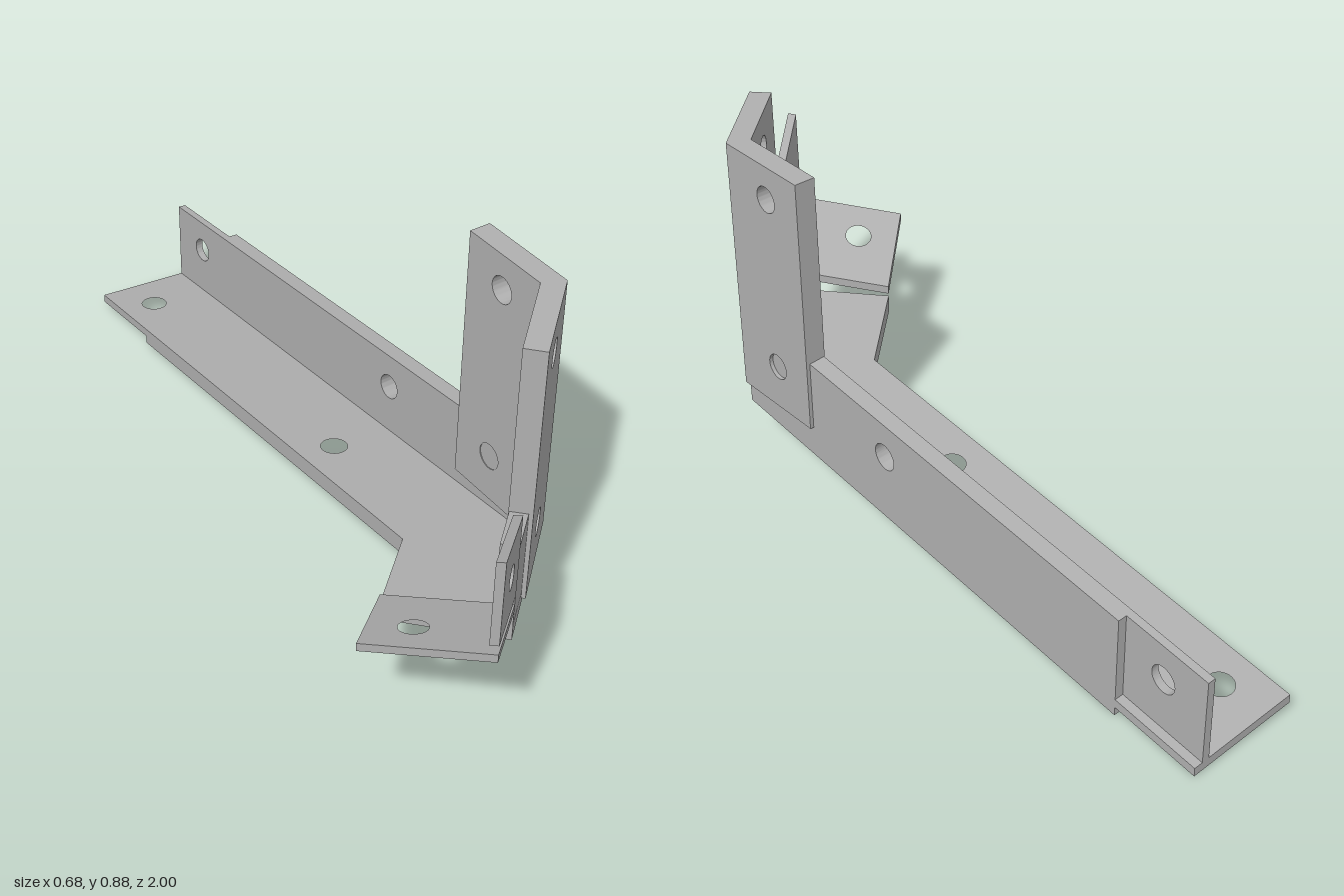
import * as THREE from 'three';
import { toCreasedNormals } from 'three/addons/utils/BufferGeometryUtils.js';

const HOLE = 0.034;
const MITRE = 0.44; // tan of half the bend angle
const DIR = [-0.738, 0.675]; // front arm direction in plan (x, z)
const BACK = [0, 1]; // long arm direction, rear to front
const TIP = [0.04, 0.834]; // outer end of the front arm

// Tilted plane that carries both arms
const armPlane = (x, z) => 0.135 + 0.1015 * (z - 0.57) - 0.074 * (x - 0.328);
// Steeper plane that carries the front tabs
const tabPlane = (x, z) => {
  const dx = x - TIP[0], dz = z - TIP[1];
  const along = dx * DIR[0] + dz * DIR[1];
  const inward = -dx * DIR[1] + dz * DIR[0];
  return 0.268 + 0.343 * along - 0.133 * inward;
};
const level = () => 0;

// Point measured along the front arm and inward from its outer face
const tipPoint = (s, c) => [
  TIP[0] + s * DIR[0] - c * DIR[1],
  TIP[1] + s * DIR[1] + c * DIR[0],
];

export function createModel() {
  const group = new THREE.Group();
  const steel = new THREE.MeshStandardMaterial({ color: 0xb0b0b0 });
  steel.name = 'steel grey';

  function outline(points, holes) {
    const shape = new THREE.Shape(points.map(([x, y]) => new THREE.Vector2(x, y)));
    for (const [x, y] of holes) {
      shape.holes.push(new THREE.Path().absarc(x, y, HOLE, 0, Math.PI * 2, true));
    }
    return shape;
  }

  const extrude = (shape, depth) =>
    new THREE.ExtrudeGeometry(shape, { depth, bevelEnabled: false, curveSegments: 32 });

  // Shear the plate onto its plane and add it
  function finish(name, geometry, plane) {
    const p = geometry.attributes.position;
    for (let i = 0; i < p.count; i++) p.setY(i, p.getY(i) + plane(p.getX(i), p.getZ(i)));
    geometry.computeVertexNormals();
    const mesh = new THREE.Mesh(toCreasedNormals(geometry, 0.6), steel);
    mesh.name = name;
    group.add(mesh);
  }

  // Lying plate from a plan outline of (x, z) points
  function lying(name, points, y, thickness, plane, holes = []) {
    const flip = ([x, z]) => [x, -z];
    const g = extrude(outline(points.map(flip), holes.map(flip)), thickness);
    g.rotateX(-Math.PI / 2).translate(0, y, 0);
    finish(name, g, plane);
  }

  // Standing plate along a plan direction, thickened inward, with optional mitred ends
  function standing(name, start, dir, length, y0, y1, thickness, plane, holes = [], m0 = 0, m1 = 0) {
    const g = extrude(outline([[0, y0], [length, y0], [length, y1], [0, y1]], holes), thickness);
    const p = g.attributes.position;
    for (let i = 0; i < p.count; i++) {
      const s = p.getX(i), d = p.getZ(i);
      if (s < 1e-4) p.setX(i, s + d * m0);
      else if (s > length - 1e-4) p.setX(i, s - d * m1);
    }
    const along = new THREE.Vector3(dir[0], 0, dir[1]).normalize();
    const up = new THREE.Vector3(0, 1, 0);
    const inward = new THREE.Vector3().crossVectors(along, up);
    g.applyMatrix4(new THREE.Matrix4().makeBasis(along, up, inward).setPosition(start[0], 0, start[1]));
    finish(name, g, plane);
  }

  // Bent angle section: floor and two mitred walls
  lying('floorFlange', [
    [0.03, -0.76], [0.328, -0.76], [0.328, 0.57], TIP, tipPoint(0, 0.297), [0.03, 0.44],
  ], 0, 0.046, armPlane, [[0.125, 0.02]]);
  standing('longWall', [0.328, -0.76], BACK, 1.33, 0.046, 0.273, 0.043, armPlane,
    [[0.785, 0.18]], 0, MITRE);
  standing('shortWall', [0.328, 0.57], DIR, 0.39, 0.046, 0.273, 0.043, armPlane,
    [], MITRE, 0);

  // Half-thickness tabs at the rear end
  lying('rearFloorTab', [[0.03, -1], [0.328, -1], [0.328, -0.76], [0.03, -0.76]],
    0.023, 0.023, armPlane, [[0.125, -0.88]]);
  standing('rearWallTab', [0.305, -1], BACK, 0.24, 0.046, 0.273, 0.02, armPlane,
    [[0.125, 0.182]]);

  // Raised, separate tabs at the front end
  lying('frontFloorTab', [tipPoint(0, 0), tipPoint(0.245, 0), tipPoint(0.245, 0.297), tipPoint(0, 0.297)],
    0, 0.022, tabPlane, [[-0.2, 0.79]]);
  standing('frontWallTab', TIP, DIR, 0.245, 0.047, 0.275, 0.021, tabPlane, [[0.119, 0.166]]);

  // Upright bent bracket around the corner
  standing('bracketSide', [0.338, 0.305], BACK, 0.27, 0.193, 0.877, 0.055, level,
    [[0.122, 0.315], [0.122, 0.787]], 0, MITRE);
  standing('bracketFront', [0.338, 0.575], DIR, 0.268, 0.193, 0.877, 0.055, level,
    [[0.143, 0.315], [0.143, 0.787]], MITRE, 0);

  return group;
}
